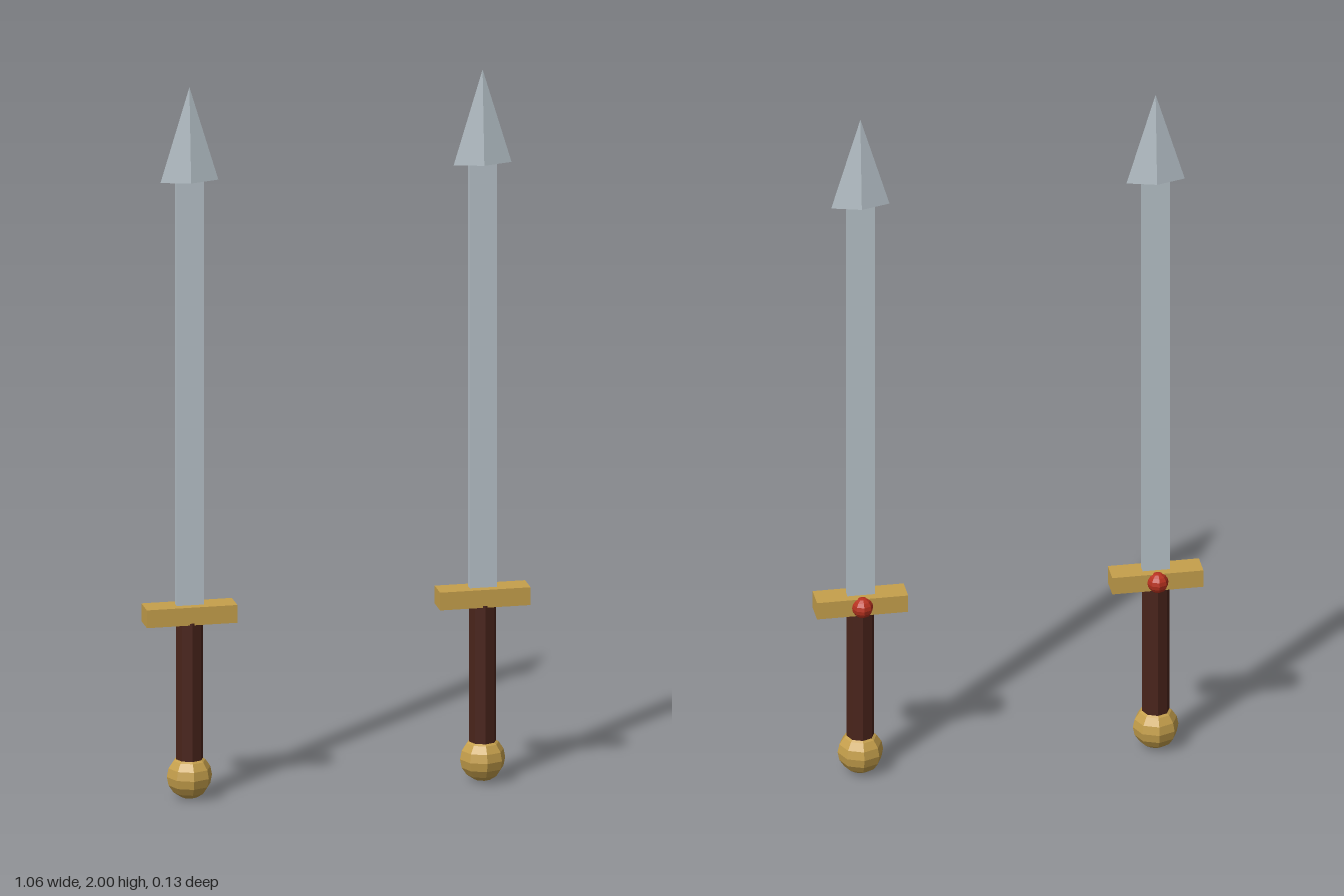
import * as THREE from 'three';

const flat = (color) => new THREE.MeshStandardMaterial({ color, flatShading: true });

export function createModel() {
  const steel = flat(0xb9c4cb);
  const gold = flat(0xc6a04c);
  const leather = flat(0x4a241b);
  const ruby = flat(0xb8321f);

  function add(parent, name, geometry, material, y, z = 0) {
    const mesh = new THREE.Mesh(geometry, material);
    mesh.name = name;
    mesh.position.set(0, y, z);
    parent.add(mesh);
    return mesh;
  }

  function createSword(name, x) {
    const sword = new THREE.Group();
    sword.name = name;
    sword.position.x = x;

    // Hilt: faceted pommel, octagonal grip and crossguard
    add(sword, 'pommel', new THREE.SphereGeometry(0.0625, 8, 8), gold, 0.0625);
    add(sword, 'grip', new THREE.CylinderGeometry(0.0375, 0.0375, 0.44, 8), leather, 0.28);
    add(sword, 'crossguard', new THREE.BoxGeometry(0.25, 0.05, 0.07), gold, 0.52);

    // Gem set in the back of the crossguard
    add(sword, 'gem', new THREE.SphereGeometry(0.029, 8, 8), ruby, 0.52, -0.035);

    // Flat blade with a wider four-sided point
    add(sword, 'blade', new THREE.BoxGeometry(0.075, 1.21, 0.022), steel, 1.14);
    const tip = new THREE.ConeGeometry(0.08, 0.265, 4).scale(1, 1, 0.28);
    add(sword, 'bladeTip', tip, steel, 1.8675);
    return sword;
  }

  const model = new THREE.Group();
  model.name = 'swordPair';
  model.add(createSword('rightSword', -0.405), createSword('leftSword', 0.405));
  return model;
}
